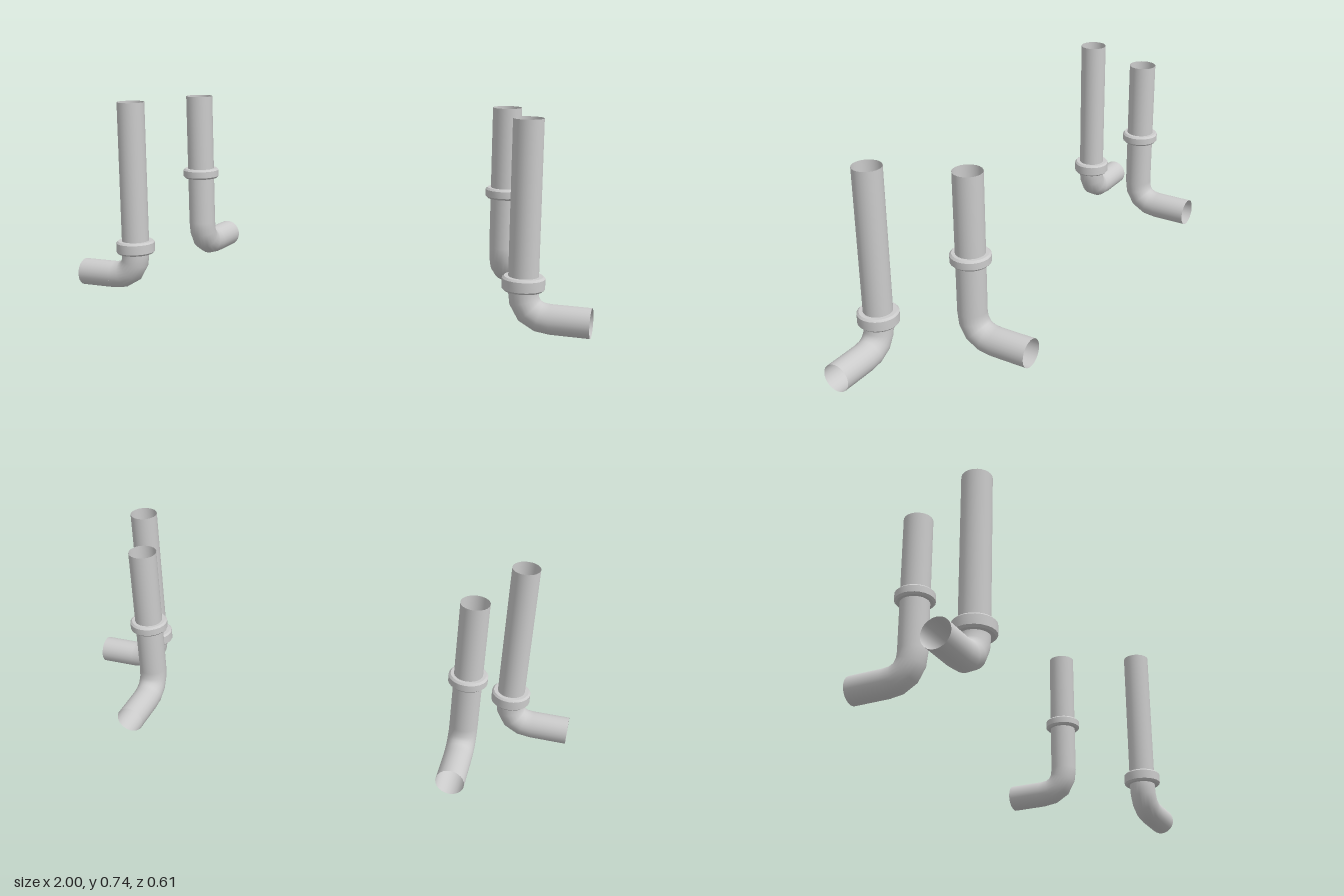
import * as THREE from 'three';
import { toCreasedNormals } from 'three/addons/utils/BufferGeometryUtils.js';

const SIDES = 24;
const R = 0.0525; // pipe radius
const TOP = 0.742; // height of the open upper ends
const BEND = 0.097; // distance from the elbow corner to each straight run
const REACH = 0.235; // outlet length measured from the vertical axis

const material = new THREE.MeshStandardMaterial({ color: 0xcccccc, side: THREE.DoubleSide });

function addMesh(group, name, geometry) {
  const mesh = new THREE.Mesh(geometry, material);
  mesh.name = name;
  group.add(mesh);
  return mesh;
}

// One open pipe: vertical run, elbow, outlet towards local +x, and a chamfered collar
function makePipe(name, axisY, collar) {
  const pipe = new THREE.Group();
  pipe.name = name;

  const bottom = axisY + BEND;
  const upright = new THREE.CylinderGeometry(R, R, TOP - bottom, SIDES, 1, true);
  addMesh(pipe, 'upright', upright).position.y = (TOP + bottom) / 2;

  const bend = new THREE.QuadraticBezierCurve3(
    new THREE.Vector3(0, bottom, 0),
    new THREE.Vector3(0, axisY, 0),
    new THREE.Vector3(BEND, axisY, 0)
  );
  addMesh(pipe, 'elbow', new THREE.TubeGeometry(bend, 4, R, SIDES, false));

  const outlet = new THREE.CylinderGeometry(R, R, REACH - BEND, SIDES, 1, true);
  outlet.rotateZ(Math.PI / 2);
  addMesh(pipe, 'outlet', outlet).position.set((REACH + BEND) / 2, axisY, 0);

  const { y0, y1, r } = collar;
  const c = 0.007;
  const profile = [
    [R, y0], [r - c, y0], [r, y0 + c], [r, y1 - c], [r - c, y1], [R, y1]
  ].map(([x, y]) => new THREE.Vector2(x, y));
  const ring = new THREE.LatheGeometry(profile, SIDES);
  addMesh(pipe, 'collar', toCreasedNormals(ring, 0.5));
  return pipe;
}

export function createModel() {
  const model = new THREE.Group();
  model.name = 'pipes';

  for (const side of [1, -1]) {
    const label = side > 0 ? 'left' : 'right';

    // Front pipe, outlet pointing outwards
    const front = makePipe(label + 'FrontPipe', R, { y0: 0.148, y1: 0.198, r: 0.0745 });
    front.position.set(side * 0.765, 0, 0.233);
    front.rotation.y = side > 0 ? 0 : Math.PI;

    // Rear pipe, outlet pointing backwards
    const rear = makePipe(label + 'RearPipe', 0.126, { y0: 0.408, y1: 0.447, r: 0.0715 });
    rear.position.set(side * 0.63, 0, -0.072);
    rear.rotation.y = Math.PI / 2;

    model.add(front, rear);
  }
  return model;
}
